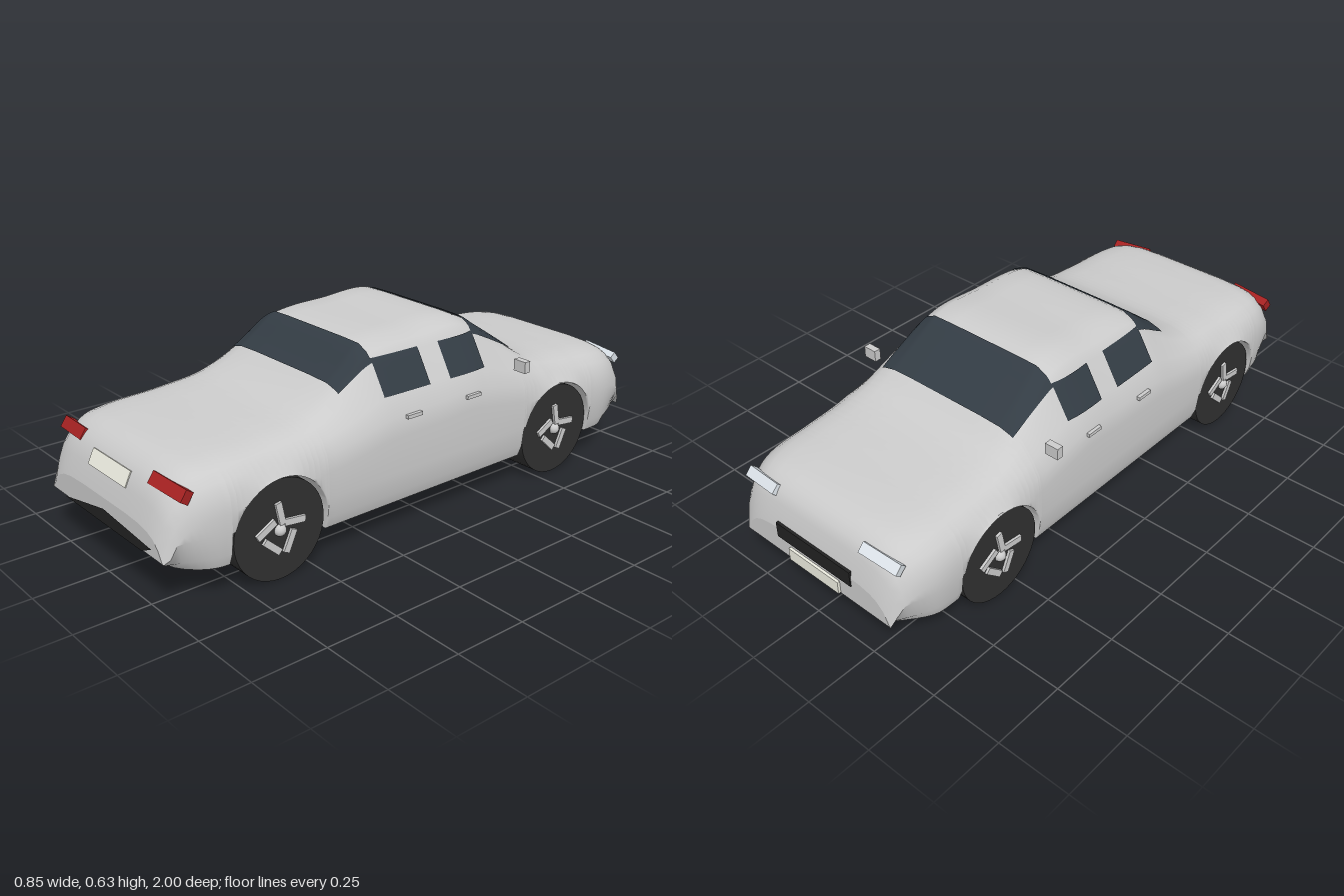
import * as THREE from 'three';

const mat = (color, opts = {}) => new THREE.MeshStandardMaterial({ color, ...opts });
const DS = { side: THREE.DoubleSide };
const grey = mat(0xcccccc, DS), greyFlat = mat(0xcccccc, { ...DS, flatShading: true });
const dark = mat(0x222222, { ...DS, flatShading: true }), glass = mat(0x333c44, DS);
const rubber = mat(0x303030), red = mat(0xa82222), lamp = mat(0xdde4ea), plateMat = mat(0xeeeee2);

// Stations along the length: z, top height, half width, underside height
const STATIONS = [
  [-0.99, 0.24, 0.325, 0.145], [-0.975, 0.31, 0.335, 0.125], [-0.945, 0.36, 0.35, 0.112], [-0.9, 0.39, 0.368, 0.11],
  [-0.84, 0.403, 0.384, 0.11], [-0.7, 0.416, 0.388, 0.11], [-0.55, 0.434, 0.388, 0.11], [-0.48, 0.455, 0.388, 0.11],
  [-0.4, 0.508, 0.388, 0.11], [-0.3, 0.575, 0.388, 0.11], [-0.245, 0.612, 0.388, 0.11], [-0.2, 0.63, 0.388, 0.11],
  [0, 0.627, 0.388, 0.11], [0.16, 0.62, 0.388, 0.11], [0.21, 0.608, 0.388, 0.11], [0.3, 0.54, 0.388, 0.11],
  [0.38, 0.487, 0.388, 0.11], [0.46, 0.453, 0.388, 0.11], [0.6, 0.435, 0.388, 0.11], [0.82, 0.422, 0.386, 0.11],
  [0.89, 0.411, 0.372, 0.11], [0.94, 0.38, 0.354, 0.118], [0.975, 0.33, 0.343, 0.14], [1, 0.25, 0.335, 0.165],
];
const spline = new THREE.CubicInterpolant(STATIONS.map(s => s[0]), STATIONS.flatMap(s => s.slice(1)), 3);

// Half sections, centre line to sill: x, drop below the top
const DECK = [[0, 0], [0.15, 0], [0.24, 0.004], [0.29, 0.012], [0.325, 0.025], [0.357, 0.05], [0.38, 0.09], [0.388, 0.14]];
const CABIN = [[0, 0], [0.14, 0], [0.22, 0.002], [0.262, 0.023], [0.287, 0.055], [0.347, 0.155], [0.38, 0.215], [0.388, 0.28]];

const AXLES = [-0.578, 0.626], AXLE_Y = 0.166, WHEEL_R = 0.164, ARCH_R = 0.174;

function section(z) {
  const [top, w, base] = spline.evaluate(z);
  const f = THREE.MathUtils.clamp((top - 0.44) / 0.185, 0, 1);
  const end = THREE.MathUtils.smoothstep(Math.abs(z), 0.82, 1);
  let floor = base;
  for (const a of AXLES) if (Math.abs(z - a) <= ARCH_R) floor = AXLE_Y + Math.sqrt(ARCH_R ** 2 - (z - a) ** 2);
  const pts = DECK.map(([x, d], i) => [THREE.MathUtils.lerp(x, CABIN[i][0], f), top - THREE.MathUtils.lerp(d, CABIN[i][1], f)]);
  pts.push([0.388, 0.22], [0.38 - 0.02 * end, 0.15], [0.365 - 0.06 * end, 0]);
  let prev = Infinity;
  return pts.map(([x, y]) => [x * w / 0.388, prev = Math.min(prev, Math.max(floor, y))]);
}

// Where the section crosses a given x (axis 0) or y (axis 1)
function lookup(z, axis, v) {
  const s = section(z);
  for (let i = 1; i < s.length; i++) {
    const a = s[i - 1][axis], b = s[i][axis];
    if (a !== b && (v - a) * (v - b) <= 0) return THREE.MathUtils.lerp(s[i - 1][1 - axis], s[i][1 - axis], (v - a) / (b - a));
  }
  return s[0][1 - axis];
}

function mesh(name, geometry, material, parent, pos = [0, 0, 0], rot = [0, 0, 0]) {
  const m = new THREE.Mesh(geometry, material);
  m.name = name;
  m.position.set(...pos);
  m.rotation.set(...rot);
  parent.add(m);
  return m;
}
const box = (name, size, material, parent, pos, rot) => mesh(name, new THREE.BoxGeometry(...size), material, parent, pos, rot);

// Surface through rows of points
function skin(name, rows, material, parent) {
  const n = rows[0].length, index = [];
  for (let i = 0; i < rows.length - 1; i++) for (let j = 0; j < n - 1; j++) {
    const a = i * n + j, d = a + n;
    index.push(a, a + 1, d + 1, a, d + 1, d);
  }
  const g = new THREE.BufferGeometry();
  g.setAttribute('position', new THREE.Float32BufferAttribute(rows.flat(2), 3));
  g.setIndex(index);
  g.computeVertexNormals();
  return mesh(name, g, material, parent);
}
const range = (a, b, n) => Array.from({ length: n + 1 }, (_, i) => a + (b - a) * i / n);

function addBody(car) {
  const zs = [...range(-0.99, 1, 100)];
  for (const a of AXLES) {
    for (let k = 0; k <= 20; k++) zs.push(a + ARCH_R * 0.99999 * Math.cos(Math.PI * k / 20));
    zs.push(a - ARCH_R - 0.0005, a + ARCH_R + 0.0005);
  }
  zs.sort((p, q) => p - q);
  const rings = zs.map(z => {
    const h = section(z);
    return [...h.map(([x, y]) => [x, y, z]).reverse(), ...h.slice(1).map(([x, y]) => [-x, y, z])];
  });
  skin('bodyShell', rings, grey, car);
  for (const [name, r] of [['noseCap', rings[0]], ['tailCap', rings[rings.length - 1]]])
    skin(name, r.slice(0, 11).map((p, j) => [p, r[20 - j]]), greyFlat, car);

  // Dark floor pans between the arches, grey arch tunnels across the car
  const e = ARCH_R + 0.0006, cuts = [-1, AXLES[0] - e, AXLES[0] + e, AXLES[1] - e, AXLES[1] + e, 1.01];
  const bottom = (a, b) => rings.filter(r => r[0][2] >= a && r[0][2] <= b).map(r => [r[20], r[0]]);
  const pad = 0.0003;
  skin('frontFloor', bottom(cuts[0], cuts[1] + pad), dark, car);
  skin('middleFloor', bottom(cuts[2] - pad, cuts[3] + pad), dark, car);
  skin('rearFloor', bottom(cuts[4] - pad, cuts[5]), dark, car);
  skin('frontArch', bottom(cuts[1], cuts[2]), greyFlat, car);
  skin('rearArch', bottom(cuts[3], cuts[4]), greyFlat, car);
}

function addGlass(car) {
  for (const [name, z0, z1] of [['windscreen', -0.42, -0.235], ['rearWindow', 0.2, 0.335]])
    skin(name, range(z0, z1, 12).map(z => range(0.287, -0.287, 60).map(x => [x, lookup(z, 0, Math.abs(x)) + 0.005, z])), glass, car);
  for (const s of [1, -1]) for (const [name, z0, z1] of [['frontSideWindow', -0.235, -0.075], ['rearSideWindow', 0.01, 0.2]])
    skin(name, range(z0, z1, 12).map(z => range(0.47, 0.58, 10).map(y => [s * (lookup(z, 1, y) + 0.004), y, z])), glass, car);
}

function addWheel(car, side, z) {
  const wheel = new THREE.Group();
  wheel.name = 'wheel';
  wheel.position.set(side * 0.303, AXLE_Y, z);
  wheel.rotation.y = side * Math.PI / 2;
  car.add(wheel);
  // Local +z points outward
  mesh('tyre', new THREE.CylinderGeometry(WHEEL_R, WHEEL_R, 0.136, 40), rubber, wheel, [0, 0, 0], [Math.PI / 2, 0, 0]);
  mesh('hub', new THREE.SphereGeometry(0.02, 16, 10), grey, wheel, [0, 0, 0.068]);
  for (let k = 0; k < 5; k++) {
    const a = Math.PI / 2 + k * Math.PI * 0.4;
    box('spoke', [0.075, 0.022, 0.014], grey, wheel, [0.055 * Math.cos(a), 0.055 * Math.sin(a), 0.07], [0, 0, Math.PI - a + 0.2]);
  }
}

export function createModel() {
  const car = new THREE.Group();
  car.name = 'car';
  addBody(car);
  addGlass(car);
  for (const s of [1, -1]) {
    for (const z of AXLES) addWheel(car, s, z);
    box('mirror', [0.05, 0.04, 0.024], grey, car, [s * 0.4, 0.46, -0.362]);
    for (const z of [-0.15, 0.11]) box('doorHandle', [0.014, 0.012, 0.06], grey, car, [s * 0.386, 0.402, z]);
    box('tailLight', [0.155, 0.04, 0.03], red, car, [s * 0.277, 0.362, 0.93], [-0.6, s * 0.1, 0]);
    box('headlight', [0.145, 0.035, 0.025], lamp, car, [s * 0.262, 0.345, -0.947], [0.75, -s * 0.1, 0]);
  }
  // Number plates, grille and lower rear panel
  box('rearPlate', [0.222, 0.052, 0.014], plateMat, car, [0, 0.337, 0.966], [-0.45, 0, 0]);
  box('frontPlate', [0.222, 0.045, 0.014], plateMat, car, [0, 0.17, -0.992]);
  box('grille', [0.33, 0.055, 0.016], dark, car, [0, 0.235, -0.986]);
  const panel = new THREE.Shape([[-0.25, 0.163], [0.215, 0.163], [0.275, 0.19], [0, 0.213]].map(p => new THREE.Vector2(...p)));
  mesh('lowerRearPanel', new THREE.ShapeGeometry(panel), dark, car, [0, 0, 1.002]);
  return car;
}
